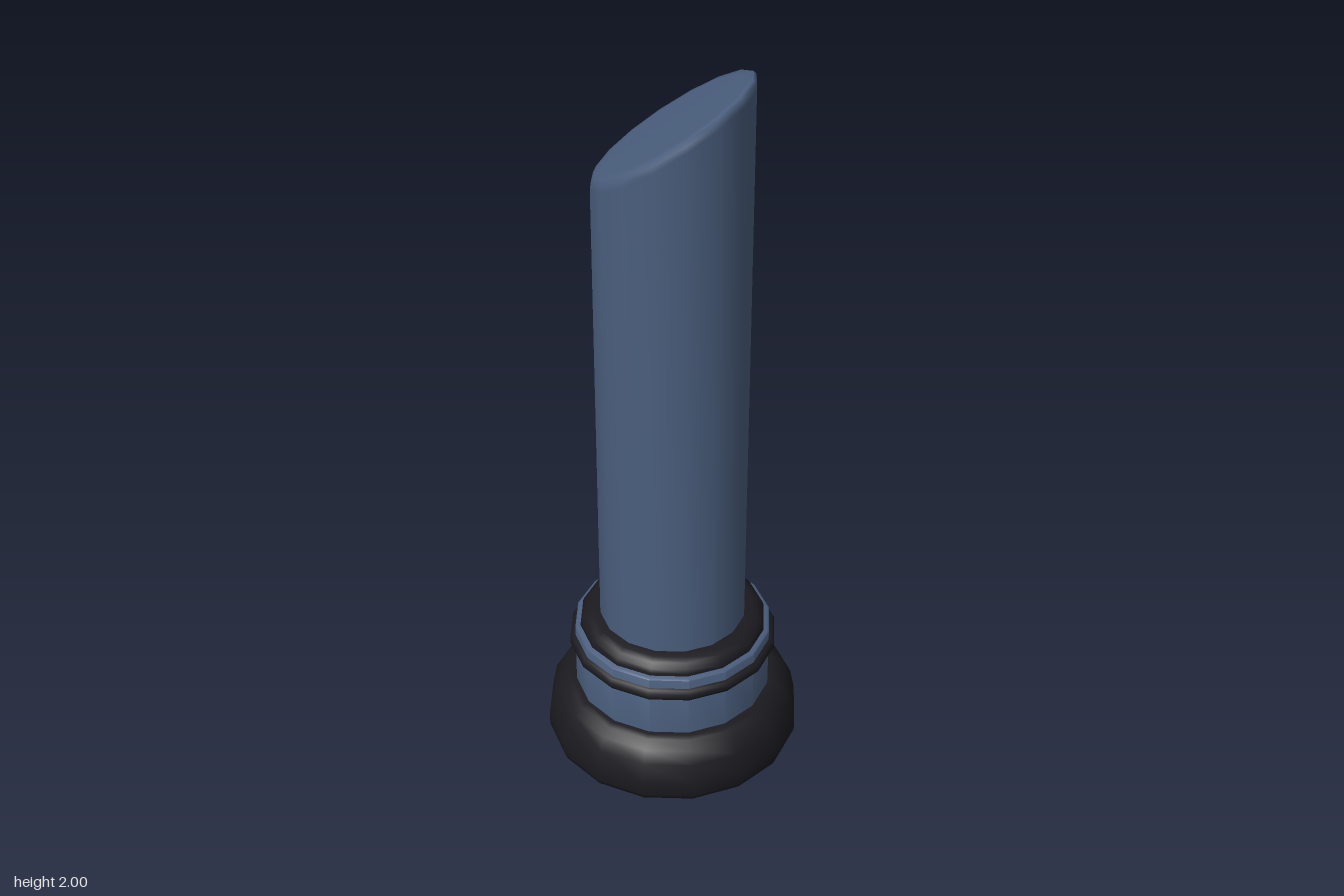
import * as THREE from 'three';
import { mergeVertices, toCreasedNormals } from 'three/addons/utils/BufferGeometryUtils.js';

const SIDES = 16;
const blue = new THREE.MeshStandardMaterial({ color: 0x4a5e7d });
const black = new THREE.MeshStandardMaterial({ color: 0x1b1a1f });

// Turned solid from [radius, height] points, listed bottom to top
function turned(points) {
  return new THREE.LatheGeometry(points.map(([r, y]) => new THREE.Vector2(r, y)), SIDES);
}

export function createModel() {
  const group = new THREE.Group();
  const add = (name, geometry, material) => {
    const mesh = new THREE.Mesh(geometry, material);
    mesh.name = name;
    group.add(mesh);
  };

  // Heavy rounded foot
  add('foot', toCreasedNormals(turned([
    [0, 0], [0.33, 0], [0.343, 0.008], [0.35, 0.025], [0.35, 0.065],
    [0.338, 0.125], [0.318, 0.158], [0.295, 0.178], [0.28, 0.183], [0.25, 0.183],
  ]), 0.9), black);

  // Collar standing on the foot
  add('collar', toCreasedNormals(turned([
    [0.27, 0.17], [0.27, 0.366], [0.265, 0.37], [0.19, 0.37],
  ]), 0.9), blue);

  // Rounded band around the collar
  add('band', toCreasedNormals(turned([
    [0.262, 0.304], [0.278, 0.306], [0.285, 0.315], [0.285, 0.329], [0.278, 0.338], [0.262, 0.34],
  ]), 0.9), black);

  // Bevelled ring between collar and shaft
  add('topRing', toCreasedNormals(turned([
    [0.255, 0.365], [0.255, 0.378], [0.25, 0.39], [0.238, 0.402], [0.222, 0.41], [0.19, 0.41],
  ]), 0.9), black);

  // Shaft with a softly bevelled top, sheared to a slanted cut
  let shaft = turned([
    [0.2, 0.36], [0.2, 1.835], [0.198, 1.853], [0.19, 1.865], [0.17, 1.867], [0, 1.867],
  ]);
  const p = shaft.attributes.position;
  for (let i = 0; i < p.count; i++) {
    if (p.getY(i) > 1) p.setY(i, p.getY(i) + 0.7 * p.getX(i));
  }
  shaft.deleteAttribute('uv');
  shaft.deleteAttribute('normal');
  shaft = mergeVertices(shaft);
  shaft.computeVertexNormals();
  add('shaft', shaft, blue);

  return group;
}
